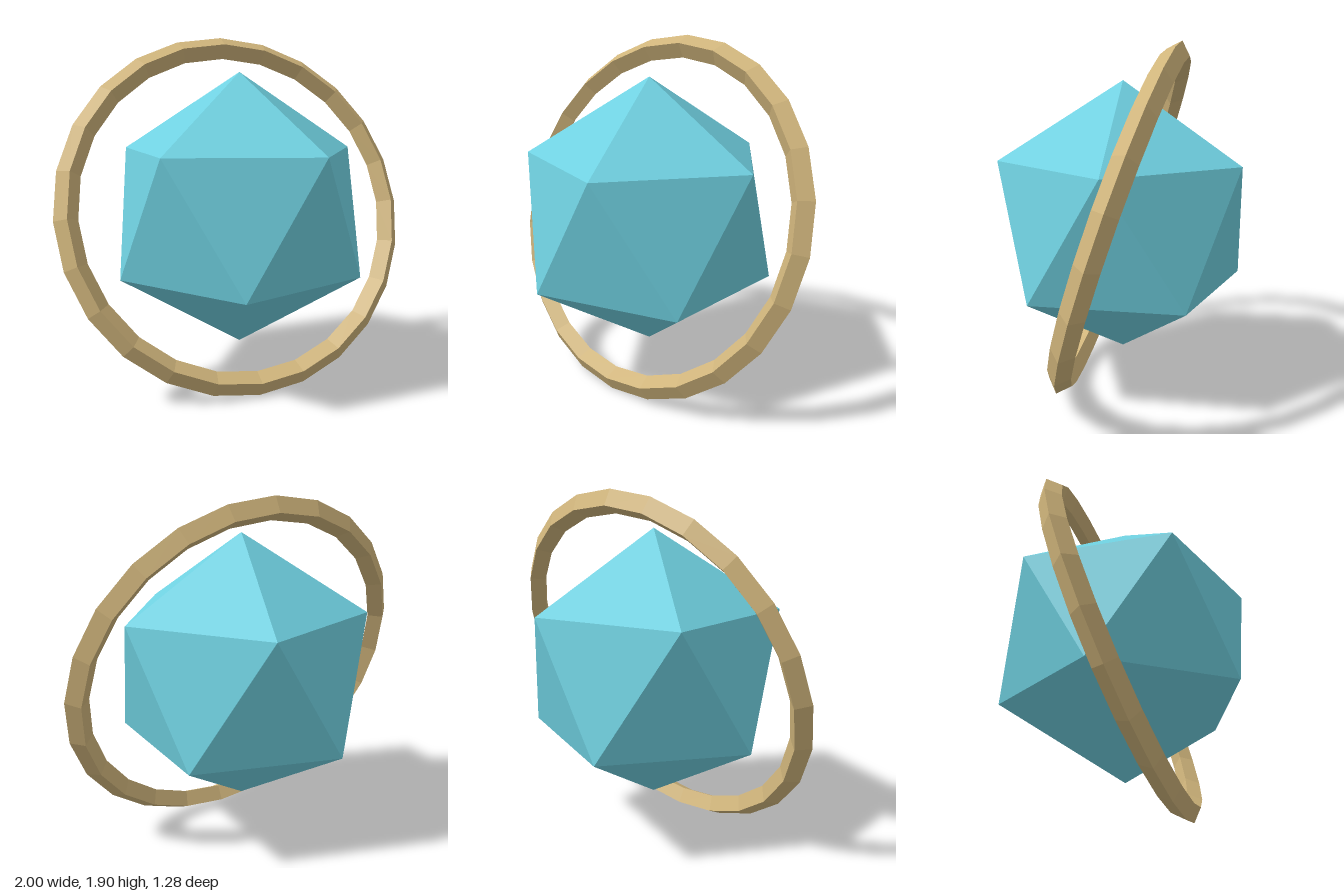
import * as THREE from 'three';

export function createModel() {
  const model = new THREE.Group();
  model.name = 'ringedCrystal';
  const CENTRE_Y = 0.951;

  const crystalBlue = new THREE.MeshStandardMaterial({ color: 0x6fd0e0 });
  crystalBlue.name = 'crystalBlue';
  crystalBlue.flatShading = true;
  const sandGold = new THREE.MeshStandardMaterial({ color: 0xcfb47b });
  sandGold.name = 'sandGold';
  sandGold.flatShading = true;

  // Twenty-sided core, turned so one corner points straight up
  const coreGeometry = new THREE.IcosahedronGeometry(0.75, 0);
  coreGeometry.rotateZ(-Math.atan(2 / (1 + Math.sqrt(5))));
  const core = new THREE.Mesh(coreGeometry, crystalBlue);
  core.name = 'core';
  core.position.y = CENTRE_Y;
  model.add(core);

  // Diamond-section ring, its top leaning back 18 degrees
  const ring = new THREE.Mesh(new THREE.TorusGeometry(0.9375, 0.0625, 4, 24), sandGold);
  ring.name = 'ring';
  ring.position.y = CENTRE_Y;
  ring.rotation.x = -Math.PI / 10;
  model.add(ring);

  return model;
}
